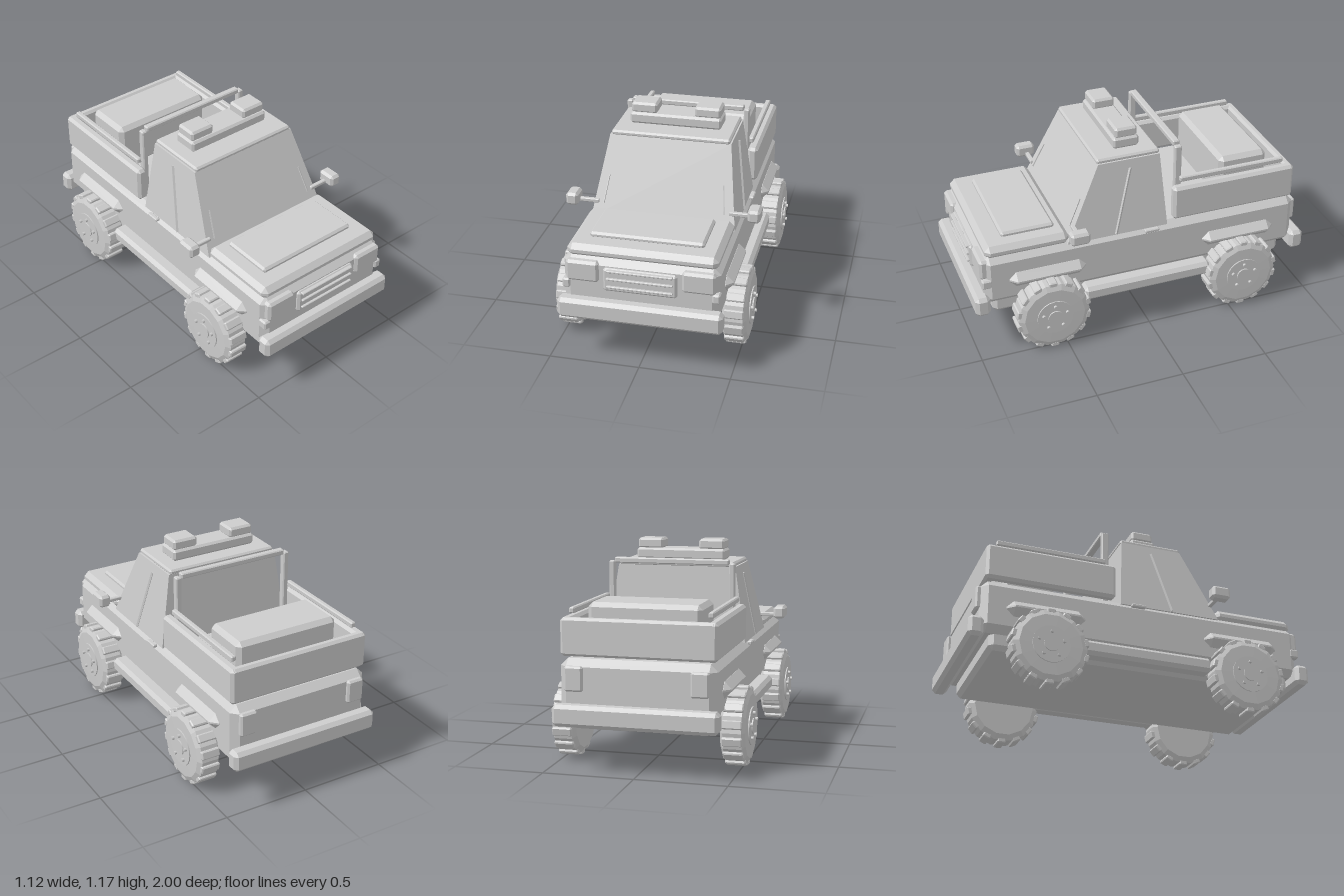
import * as THREE from 'three';
import { ConvexGeometry } from 'three/addons/geometries/ConvexGeometry.js';

const grey = new THREE.MeshStandardMaterial({ color: 0xcccccc });
grey.name = 'plainGrey';

export function createModel() {
  const model = new THREE.Group();
  model.name = 'pickupTruck';

  function add(name, geometry, parent = model) {
    const mesh = new THREE.Mesh(geometry, grey);
    mesh.name = name;
    parent.add(mesh);
    return mesh;
  }

  // Box between two corners with chamfered edges
  function block(name, [x0, x1], [y0, y1], [z0, z1], b = 0.012, parent = model) {
    const h = [(x1 - x0) / 2, (y1 - y0) / 2, (z1 - z0) / 2];
    const points = [];
    for (const sx of [-1, 1]) for (const sy of [-1, 1]) for (const sz of [-1, 1]) {
      for (let k = 0; k < 3; k++) {
        const p = h.map((v, i) => (i === k ? v : v - b));
        points.push(new THREE.Vector3(p[0] * sx, p[1] * sy, p[2] * sz));
      }
    }
    const mesh = add(name, new ConvexGeometry(points), parent);
    mesh.position.set((x0 + x1) / 2, (y0 + y1) / 2, (z0 + z1) / 2);
    return mesh;
  }

  // The same block on both sides of the model
  function pair(name, [x0, x1], y, z, b) {
    block(name + 'Left', [x0, x1], y, z, b);
    block(name + 'Right', [-x1, -x0], y, z, b);
  }

  // Thin square bar between two points
  function bar(name, a, b, t) {
    const from = new THREE.Vector3(...a), to = new THREE.Vector3(...b);
    const mesh = add(name, new THREE.BoxGeometry(t, t, from.distanceTo(to)));
    mesh.position.copy(from).add(to).multiplyScalar(0.5);
    mesh.lookAt(to);
  }

  // Lower body
  block('chassis', [-0.385, 0.385], [0.215, 0.33], [-0.87, 0.89], 0.025);
  block('body', [-0.425, 0.425], [0.3, 0.605], [-0.935, 0.94], 0.04);
  pair('runningBoard', [0.38, 0.48], [0.225, 0.31], [-0.39, 0.38], 0.02);
  block('frontBumper', [-0.45, 0.45], [0.253, 0.37], [0.915, 1], 0.02);
  block('rearBumper', [-0.45, 0.45], [0.253, 0.37], [-1, -0.915], 0.02);
  block('hood', [-0.41, 0.41], [0.585, 0.66], [0.44, 0.92], 0.028);
  block('hoodPanel', [-0.313, 0.313], [0.65, 0.685], [0.5, 0.805]);

  // Front and rear fittings
  block('grille', [-0.2, 0.2], [0.425, 0.56], [0.9, 0.96]);
  for (const y of [0.457, 0.504, 0.55]) {
    block('grilleBar', [-0.18, 0.18], [y - 0.006, y + 0.006], [0.95, 0.974], 0.003);
  }
  pair('headlight', [0.225, 0.405], [0.465, 0.585], [0.88, 0.957], 0.014);
  pair('turnLamp', [0.385, 0.428], [0.417, 0.47], [0.895, 0.952], 0.008);
  pair('tailLight', [0.29, 0.39], [0.435, 0.57], [-0.957, -0.91], 0.01);

  // Tapered cabin
  const cabin = [];
  for (const s of [-1, 1]) {
    for (const [x, y, z] of [[0.41, 0.59, 0.455], [0.41, 0.59, -0.137],
      [0.345, 1.02, 0.25], [0.345, 1.02, -0.11]]) cabin.push(new THREE.Vector3(x * s, y, z));
  }
  add('cabin', new ConvexGeometry(cabin));
  block('roof', [-0.338, 0.338], [1.014, 1.045], [-0.113, 0.255], 0.01);
  block('lightBar', [-0.262, 0.262], [1.045, 1.11], [-0.02, 0.13], 0.012);
  pair('roofLamp', [0.107, 0.257], [1.105, 1.166], [-0.012, 0.117], 0.012);

  // Trim, wipers and mirrors
  for (const s of [-1, 1]) {
    bar('doorPillar', [0.411 * s, 0.595, 0.17], [0.355 * s, 0.97, 0.067], 0.012);
    bar('wiper', [0.344 * s, 0.67, 0.42], [0.325 * s, 0.815, 0.351], 0.006);
  }
  pair('doorHandle', [0.41, 0.438], [0.572, 0.592], [-0.08, 0.005], 0.005);
  pair('mirrorArm', [0.37, 0.49], [0.668, 0.69], [0.4, 0.425], 0.004);
  pair('mirror', [0.48, 0.55], [0.66, 0.733], [0.365, 0.475], 0.014);

  // Open cargo bed with rails and roll bar
  pair('bedWall', [0.365, 0.425], [0.615, 0.82], [-0.915, -0.17], 0.016);
  block('tailgate', [-0.415, 0.415], [0.615, 0.82], [-0.915, -0.865], 0.014);
  block('cargoBox', [-0.313, 0.313], [0.6, 0.888], [-0.79, -0.497], 0.025);
  pair('bedRail', [0.362, 0.392], [0.835, 0.867], [-0.855, -0.22], 0.006);
  pair('rollBarPost', [0.333, 0.366], [0.6, 1.052], [-0.235, -0.195], 0.006);
  block('rollBarTop', [-0.333, 0.333], [1.04, 1.072], [-0.235, -0.195], 0.006);

  // Wheels and fender flares
  const profile = [[0, -0.07], [0.175, -0.07], [0.206, -0.05], [0.206, 0.05], [0.175, 0.066], [0, 0.07]]
    .map(([r, y]) => new THREE.Vector2(r, y));
  const tyre = new THREE.LatheGeometry(profile, 14).toNonIndexed();
  tyre.computeVertexNormals();
  tyre.rotateZ(-Math.PI / 2);

  function disc(name, radius, x0, x1, y, z, parent, sides) {
    const mesh = add(name, new THREE.CylinderGeometry(radius, radius, x1 - x0, sides), parent);
    mesh.rotation.z = -Math.PI / 2;
    mesh.position.set((x0 + x1) / 2, y, z);
  }

  for (const z of [0.578, -0.572]) {
    for (const s of [-1, 1]) {
      const wheel = new THREE.Group();
      wheel.name = (z > 0 ? 'front' : 'rear') + 'Wheel' + (s > 0 ? 'Left' : 'Right');
      wheel.position.set(0.47 * s, 0.218, z);
      if (s < 0) wheel.rotation.y = Math.PI;
      model.add(wheel);
      add('tyre', tyre, wheel);
      for (let i = 0; i < 14; i++) {
        const a = (i / 14) * Math.PI * 2;
        const tread = block('tread', [-0.055, 0.055], [-0.015, 0.015], [-0.024, 0.024], 0.006, wheel);
        tread.position.set(0, Math.cos(a) * 0.203, Math.sin(a) * 0.203);
        tread.rotation.x = a;
      }
      disc('rim', 0.105, 0.05, 0.074, 0, 0, wheel, 20);
      disc('hub', 0.043, 0.06, 0.081, 0, 0, wheel, 16);
      for (let i = 0; i < 5; i++) {
        const a = (i / 5) * Math.PI * 2;
        disc('wheelBolt', 0.01, 0.06, 0.088, Math.cos(a) * 0.072, Math.sin(a) * 0.072, wheel, 8);
      }
    }
    pair('fenderFlare', [0.35, 0.467], [0.4, 0.49], [z - 0.222, z + 0.222], 0.04);
  }
  return model;
}
